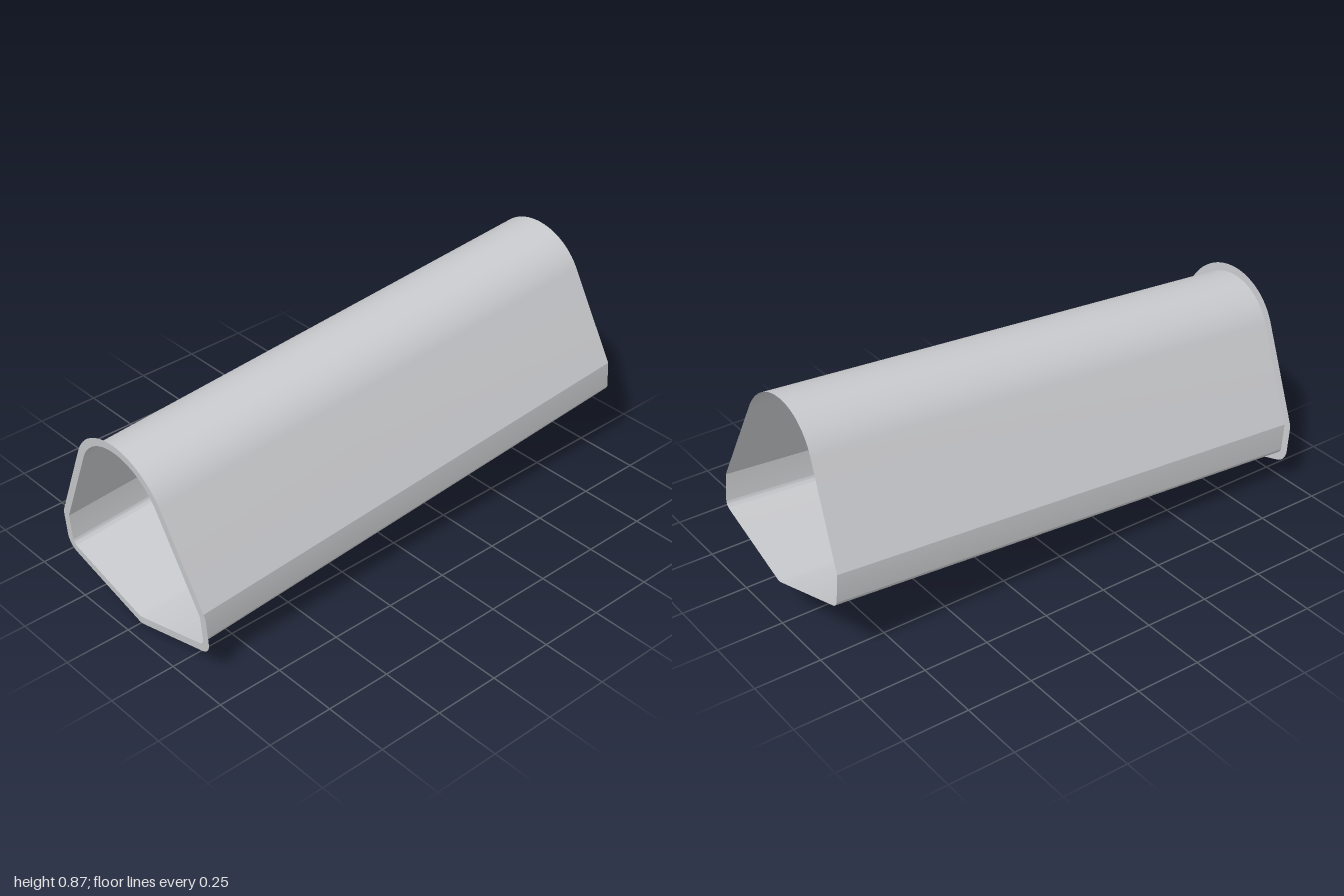
import * as THREE from 'three';
import { toCreasedNormals } from 'three/addons/utils/BufferGeometryUtils.js';

const TILT = 0.0743;   // the duct rises towards the back
const LENGTH = 1.95;
const LIP = 0.03;      // width of the front flange

// Points on an arc
function arc(cx, cy, r, from, to, steps) {
  return Array.from({ length: steps + 1 }, (_, i) => {
    const a = from + ((to - from) * i) / steps;
    return new THREE.Vector2(cx + r * Math.cos(a), cy + r * Math.sin(a));
  });
}

// Closed cross-section: shallow V keel, rounded lower corners, sloping sides, round crown.
// d moves the whole outline outwards.
function section(d) {
  const keel = Math.atan(0.304);
  const slope = 0.451;
  const keelY = 0.032 - d / Math.cos(keel);
  const right = [
    new THREE.Vector2(0.006, keelY + 0.0018),
    ...arc(0.334, 0.165, 0.03 + d, keel - Math.PI / 2, 0, 8),
    ...(d > 0 ? arc(0.364, 0.265, d, 0, slope, 5) : [new THREE.Vector2(0.364, 0.265)]),
    ...arc(0, 0.516, 0.218 + d, slope, Math.PI / 2, 16),
  ];
  const left = right.slice(0, -1).reverse().map((p) => new THREE.Vector2(-p.x, p.y));
  return [...right, ...left];
}

// Open-ended sheet running straight back from the section
function sheet(points, length) {
  const n = points.length;
  const pos = [];
  const index = [];
  for (const z of [0, -length]) for (const p of points) pos.push(p.x, p.y, z);
  for (let i = 0; i < n; i++) {
    const j = (i + 1) % n;
    index.push(i, n + i, j, j, n + i, n + j);
  }
  const geo = new THREE.BufferGeometry();
  geo.setAttribute('position', new THREE.Float32BufferAttribute(pos, 3));
  geo.setIndex(index);
  // Counter-clockwise outline seen from +z: flip so the front faces point outwards
  for (let i = 0; i < index.length; i += 3) {
    geo.index.setX(i + 1, index[i + 1]);
    geo.index.setX(i + 2, index[i + 2]);
  }
  geo.computeVertexNormals();
  return toCreasedNormals(geo, 0.4);
}

export function createModel() {
  const grey = new THREE.MeshStandardMaterial({ color: 0xc8c9cc, side: THREE.DoubleSide });
  grey.name = 'light grey';

  const model = new THREE.Group();
  model.name = 'duct';

  const tilted = new THREE.Group();
  tilted.name = 'tiltedDuct';
  tilted.rotation.x = TILT;
  tilted.position.z = 0.943;
  model.add(tilted);

  // Thin tube wall
  const inner = section(0);
  const wall = new THREE.Mesh(sheet(inner, LENGTH), grey);
  wall.name = 'tubeWall';
  tilted.add(wall);

  // Flat flange around the front opening
  const shape = new THREE.Shape(section(LIP));
  shape.holes.push(new THREE.Path(inner));
  const flange = new THREE.Mesh(new THREE.ShapeGeometry(shape), grey);
  flange.name = 'frontFlange';
  tilted.add(flange);

  return model;
}
